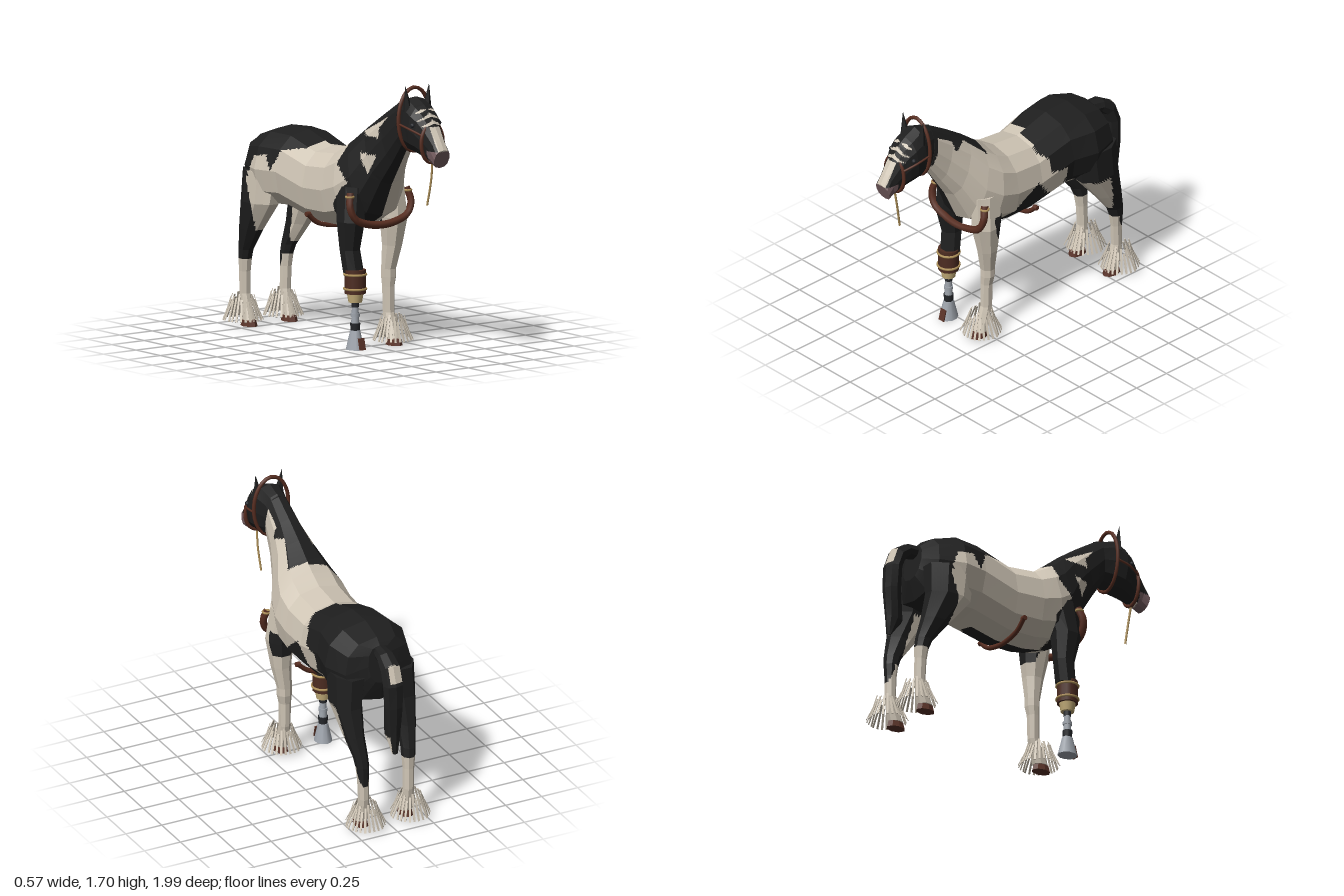
import * as THREE from 'three';
import { mergeGeometries } from 'three/addons/utils/BufferGeometryUtils.js';

const mat = (name, color) => new THREE.MeshStandardMaterial({ name, color });
const V = (x, y, z) => new THREE.Vector3(x, y, z);

export function createModel() {
  const model = new THREE.Group();
  model.name = 'horse';
  const M = {
    black: mat('blackCoat', 0x1f1f1f), cream: mat('creamCoat', 0xd0c6b6),
    muzzle: mat('muzzleSkin', 0x775f62), hoof: mat('hoofBrown', 0x5c3429),
    leather: mat('leather', 0x5a2f22), wood: mat('darkWood', 0x4e2d22),
    rope: mat('rope', 0xb0925a), cup: mat('paleWood', 0xc9b27c),
    steel: mat('steel', 0xa0a6ae), iron: mat('darkIron', 0x26282c),
  };
  const add = (name, geo, material, parent = model) => {
    const mesh = new THREE.Mesh(geo, material);
    mesh.name = name;
    parent.add(mesh);
    return mesh;
  };

  // Faceted loft through rings; small cells are sorted into coat colours by a rule
  const loft = (name, rings, colourAt, N = 8) => {
    const centre = r => r.reduce((s, p) => s.add(p), V(0, 0, 0)).divideScalar(r.length);
    const all = [rings[0].map(() => centre(rings[0])), ...rings, rings[0].map(() => centre(rings.at(-1)))];
    const out = {};
    const tri = (a, b, c) => {
      const key = colourAt((a.x + b.x + c.x) / 3, (a.y + b.y + c.y) / 3, (a.z + b.z + c.z) / 3);
      const o = out[key] ??= [];
      for (const p of [a, b, c]) o.push(p.x, p.y, p.z);
    };
    for (let i = 0; i < all.length - 1; i++) {
      const n = all[i].length;
      for (let j = 0; j < n; j++) {
        const A = all[i][j], B = all[i][(j + 1) % n], C = all[i + 1][(j + 1) % n], D = all[i + 1][j];
        const P = (u, v) => A.clone().lerp(D, u / N).lerp(B.clone().lerp(C, u / N), v / N);
        for (let u = 0; u < N; u++) for (let v = 0; v < N; v++) {
          const p = P(u, v), q = P(u + 1, v + 1);
          tri(p, P(u + 1, v), q);
          tri(p, q, P(u, v + 1));
        }
      }
    }
    const group = new THREE.Group();
    group.name = name;
    model.add(group);
    for (const key in out) {
      const g = new THREE.BufferGeometry();
      g.setAttribute('position', new THREE.Float32BufferAttribute(out[key], 3));
      g.computeVertexNormals();
      add(name + '_' + key, g, M[key], group);
    }
  };
  const soft = t => Math.sign(t) * Math.abs(t) ** 0.85;
  // Section across the spine: upper point, lower point, half width
  const spine = (list, n) => list.map(([zt, yt, zb, yb, w]) => Array.from({ length: n }, (_, k) => {
    const t = k / n * Math.PI * 2, c = (1 + soft(Math.cos(t))) / 2;
    return V(w * soft(Math.sin(t)), yb + (yt - yb) * c, zb + (zt - zb) * c);
  }));
  // Horizontal section of a leg: centre and radii
  const limb = (list, s) => list.map(([x, y, z, rx, rz]) => Array.from({ length: 8 }, (_, k) => {
    const t = (k + 0.5) / 8 * Math.PI * 2;
    return V(s * x + rx * 1.06 * Math.sin(t), y, z + rz * 1.06 * Math.cos(t));
  }));
  const inside = (poly, z, y) => {
    let hit = false;
    poly.forEach(([a, b], i) => {
      const [c, d] = poly[(i + 1) % poly.length];
      if ((b > y) !== (d > y) && z < (c - a) * (y - b) / (d - b) + a) hit = !hit;
    });
    return hit;
  };

  // Coat patches as outlines in (z, y)
  const leftBlack = [
    [[-.2, 1.35], [-.16, 1.14], [-.23, 1.09], [-.235, 1], [-.35, .995], [-.35, .85], [-.45, .83], [-.55, .79], [-.7, .7], [-.95, .7], [-.95, 1.35]],
    [[.19, .74], [.115, .8], [-.115, .975], [-.26, .8], [-.34, .78], [-.34, .6], [.2, .6]],
    [[.75, 1.7], [.46, 1.6], [.19, 1.36], [.22, 1.28], [.37, 1.42], [.46, 1.385], [.47, 1.455], [.58, 1.52], [.6, 1.41], [.66, 1.2], [.75, 1.2]],
  ];
  const rightBlack = [
    [[-.22, 1.35], [-.22, 1.19], [-.38, 1.16], [-.45, 1.03], [-.5, 1.12], [-.62, 1.1], [-.68, .95], [-.6, .7], [-.95, .7], [-.95, 1.35]],
    [[.2, 1.45], [.18, 1.15], [.28, 1.05], [.15, .9], [.2, .6], [.6, .6], [.9, 1.7], [.5, 1.7]],
  ];
  const rightCream = [
    [[.3, 1.36], [.53, 1.48], [.46, 1.4], [.47, 1.34], [.38, 1.34]],
    [[.34, 1.24], [.46, 1.23], [.4, 1.11]],
  ];
  const coat = (x, y, z) => {
    const hit = list => list.some(p => inside(p, z, y));
    return (x > 0 ? hit(leftBlack) : hit(rightBlack) && !hit(rightCream)) ? 'black' : 'cream';
  };

  // Trunk and neck
  loft('body', spine([
    [-.76, 1.19, -.805, .95, .09], [-.72, 1.23, -.77, .82, .23], [-.57, 1.275, -.58, .77, .285],
    [-.39, 1.27, -.42, .78, .25], [-.15, 1.2, -.15, .72, .235], [.05, 1.22, .05, .72, .24],
    [.14, 1.27, .22, .75, .24], [.22, 1.33, .36, .83, .205], [.32, 1.41, .46, 1.04, .145],
    [.45, 1.5, .545, 1.17, .105], [.61, 1.6, .63, 1.3, .085],
  ], 12), coat, 10);

  // Head with muzzle, blaze and ragged star
  loft('head', spine([
    [.59, 1.59, .63, 1.31, .08], [.71, 1.625, .7, 1.285, .107], [.79, 1.585, .76, 1.28, .113],
    [.84, 1.55, .81, 1.27, .1], [.9, 1.47, .855, 1.25, .072], [.955, 1.39, .915, 1.225, .056],
    [.995, 1.325, .955, 1.21, .058],
  ], 12), (x, y, z) => {
    const a = Math.abs(x);
    if (z > .9 && y < 1.315) return 'muzzle';
    if (z > .87 && y < 1.46 && a < .038) return 'cream';
    if (z > .8 && y >= 1.46 && y < 1.56 && a < .085 && ((y + a * .35) * 25) % 1 < .5 - a * 4) return 'cream';
    return 'black';
  }, 10);

  // Tail
  loft('tail', spine([
    [-.975, .53, -.95, .54, .02], [-.982, .66, -.87, .64, .045], [-.993, .85, -.89, .85, .06],
    [-.985, 1, -.885, 1, .068], [-.94, 1.125, -.86, 1.06, .066], [-.85, 1.18, -.82, 1.1, .058],
    [-.76, 1.19, -.77, 1.1, .045],
  ], 8), (x, y, z) => (y < .645 && x > 0 && z > -.965) ||
    (y > 1.02 && z < -.93 && x > -.05 && x < .035) ? 'cream' : 'black', 6);

  // Legs
  const foreTop = [[.15, 1.02, .23, .07, .12], [.165, .8, .26, .082, .095], [.163, .62, .247, .06, .065]];
  const foreLow = [[.147, .47, .232, .045, .045], [.147, .42, .232, .045, .045], [.142, .36, .235, .037, .038],
    [.142, .2, .238, .034, .037], [.142, .12, .26, .037, .042], [.142, .04, .29, .042, .05]];
  loft('leftForeleg', limb([...foreTop, ...foreLow], 1), (x, y, z) =>
    y > .71 && y < .87 && z < .25 && z < .17 + (y - .62) * .5 ? 'black' : 'cream', 6);
  loft('rightForeleg', limb([...foreTop, [.152, .48, .27, .062, .062]], -1), () => 'black', 1);
  for (const s of [1, -1]) {
    loft(s > 0 ? 'leftHindLeg' : 'rightHindLeg', limb([
      [.165, 1, -.63, .105, .165], [.185, .8, -.65, .088, .15], [.18, .62, -.745, .06, .093],
      [.165, .48, -.818, .043, .054], [.16, .42, -.833, .04, .045], [.158, .34, -.838, .034, .037],
      [.155, .2, -.842, .033, .035], [.155, .11, -.825, .036, .04], [.155, .04, -.8, .042, .05],
    ], s), (x, y, z) => {
      if (y > .78) return coat(x, y, z);
      if (y > .42 && y < .5) return 'black';
      if (y < .42) return s > 0 && y > .3 && z < -.83 && y - .3 > (z + .87) * 2 ? 'black' : 'cream';
      return s < 0 ? (z > -.62 - (.8 - y) * .2 && y > .6 ? 'cream' : 'black')
        : z < -.69 - (.8 - y) * .25 ? 'black' : 'cream';
    }, 6);
  }

  // Hooves and the loose hair fringe around them
  const feet = [['leftFore', .142, .295, .28], ['leftHind', .155, -.8, -.865], ['rightHind', -.155, -.8, -.865]];
  for (const [name, x, z, zFringe] of feet) {
    const hoof = new THREE.CylinderGeometry(.042, .052, .045, 8).toNonIndexed();
    hoof.scale(.85, 1, 1.25).translate(x, .0225, z).computeVertexNormals();
    add(name + 'Hoof', hoof, M.hoof);
    const hairs = [];
    for (let i = 0; i < 26; i++) {
      const length = .13 + .045 * ((i * 7) % 5) / 4;
      const hair = new THREE.BoxGeometry(.013, length, .004);
      hair.translate(0, length / 2 - .085, 0).rotateX(-.3 - .05 * (i % 4));
      hair.translate(0, .11, .093).rotateY(i / 26 * Math.PI * 2).translate(x, 0, zFringe);
      hairs.push(hair);
    }
    add(name + 'Fringe', mergeGeometries(hairs), M.cream);
  }

  // Ears and eyes
  for (const s of [1, -1]) {
    const ear = new THREE.ConeGeometry(.034, .16, 5).toNonIndexed();
    ear.scale(1, 1, .8).rotateZ(-s * .12).translate(s * .082, 1.62, .722).computeVertexNormals();
    add('ear', ear, M.black);
    add('eye', new THREE.SphereGeometry(.014, 8, 6), M.iron).position.set(s * .103, 1.465, .81);
  }

  // Bridle, lead rope, breast collar and girth
  const tube = (name, pts, r, material, closed = false) => add(name, new THREE.TubeGeometry(
    new THREE.CatmullRomCurve3(pts.map(p => V(...p)), closed), closed ? 32 : 24, r, 6, closed), material);
  const hoop = (name, y, z, rx, ry, r) => tube(name, Array.from({ length: 12 }, (_, k) =>
    [rx * Math.sin(k * Math.PI / 6), y + ry * Math.cos(k * Math.PI / 6), z]), r, M.leather, true);
  hoop('noseband', 1.355, .875, .083, .122, .012);
  hoop('headstall', 1.48, .69, .12, .2, .012);
  for (const s of [1, -1]) {
    tube('cheekStrap', [[s * .083, 1.41, .875], [s * .112, 1.44, .79], [s * .118, 1.46, .69]], .007, M.leather);
    add('collarRing', new THREE.TorusGeometry(.023, .008, 6, 10).rotateX(Math.PI / 2), M.rope).position.set(s * .222, .965, .325);
    add('girthKnob', new THREE.CylinderGeometry(.016, .016, .03, 8).rotateZ(Math.PI / 2), M.leather).position.set(s * .225, .8, -.1);
  }
  tube('leadRope', [[0, 1.25, .88], [.004, 1.12, .86], [-.004, .96, .83]], .007, M.rope);
  const collar = [[.215, .985, .32], [.235, .9, .345], [.2, .825, .355], [.1, .785, .36]];
  tube('breastCollar', [...collar, [0, .775, .365], ...collar.map(([x, y, z]) => [-x, y, z]).reverse()], .024, M.leather);
  tube('girth', [[.225, .8, -.1], [.16, .745, -.1], [.08, .72, -.1], [0, .712, -.1], [-.08, .72, -.1], [-.16, .745, -.1], [-.225, .8, -.1]], .016, M.leather);

  // Artificial right foreleg: barrel socket, cup, strut and bell hoof
  const leg = new THREE.Group();
  leg.name = 'artificialForeleg';
  leg.position.set(-.15, 0, .285);
  model.add(leg);
  const drum = (name, r1, r2, y0, y1, material, n = 14) => {
    const m = add(name, new THREE.CylinderGeometry(r1, r2, y1 - y0, n), material, leg);
    m.position.y = (y0 + y1) / 2;
    return m;
  };
  drum('barrelSocket', .066, .066, .35, .5, M.wood);
  for (const y of [.38, .47]) {
    const ring = add('barrelHoop', new THREE.TorusGeometry(.068, .008, 6, 16).rotateX(Math.PI / 2), M.rope, leg);
    ring.position.y = y;
  }
  drum('socketCup', .052, .042, .295, .352, M.cup);
  drum('upperJoint', .024, .024, .265, .3, M.iron);
  drum('strut', .02, .026, .15, .27, M.steel);
  drum('strutCollar', .029, .029, .205, .225, M.steel);
  drum('ankleJoint', .032, .028, .115, .165, M.iron);
  drum('bellHoof', .03, .056, 0, .12, M.steel, 10).scale.z = 1.15;
  const plate = add('hoofPlate', new THREE.BoxGeometry(.045, .075, .008), M.hoof, leg);
  plate.position.set(.008, .038, .058);
  plate.rotation.x = -.24;
  return model;
}
